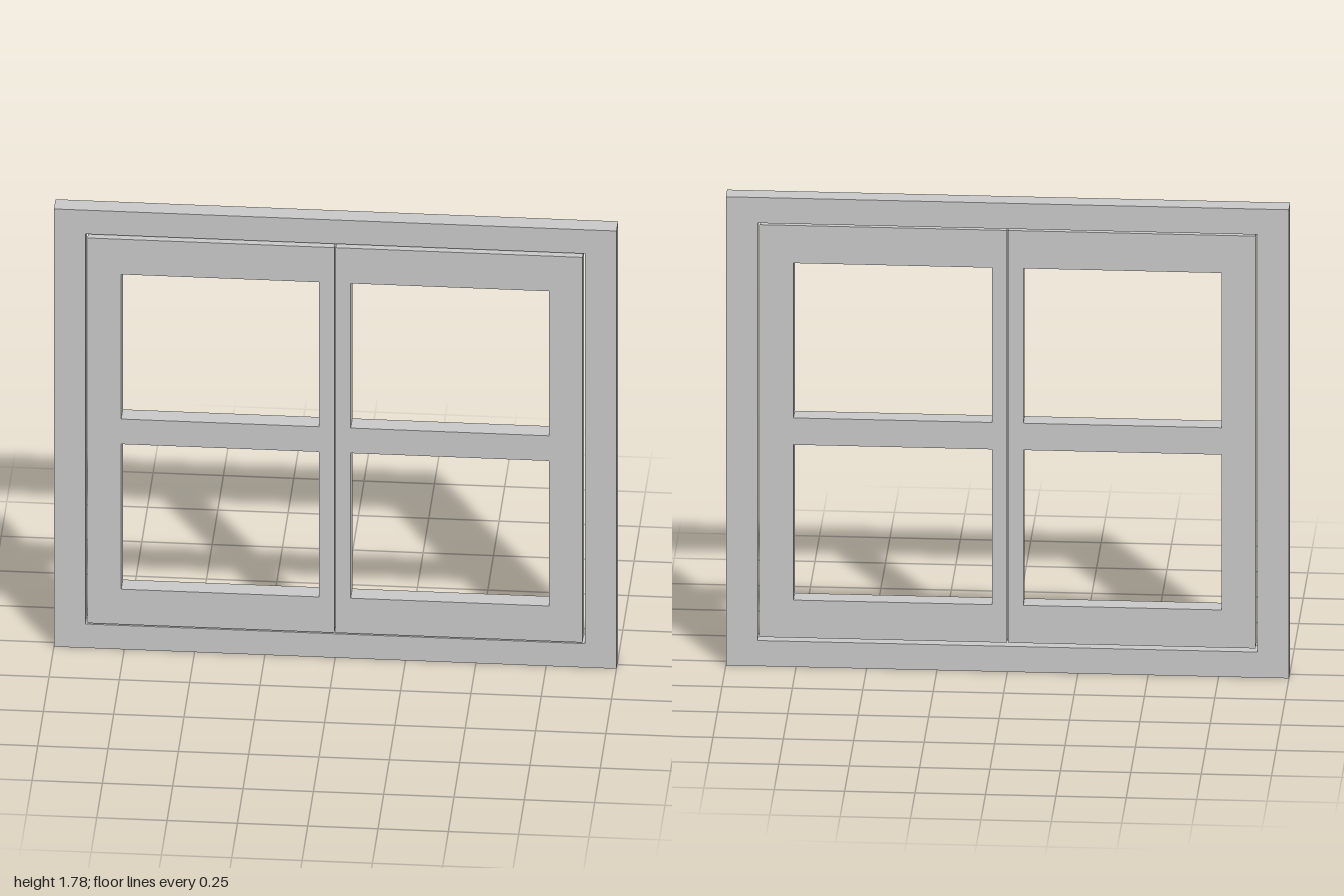
import * as THREE from 'three';

const material = new THREE.MeshStandardMaterial({ color: 0xcccccc, flatShading: true });

// Adds a closed rectangle to a shape or path
function rect(path, x0, y0, x1, y1) {
  path.moveTo(x0, y0);
  path.lineTo(x1, y0);
  path.lineTo(x1, y1);
  path.lineTo(x0, y1);
  path.closePath();
  return path;
}

// Rectangular panel with rectangular openings, extruded from zBack to zFront
function panel(name, outer, openings, zBack, zFront) {
  const shape = rect(new THREE.Shape(), ...outer);
  for (const o of openings) shape.holes.push(rect(new THREE.Path(), ...o));
  const geometry = new THREE.ExtrudeGeometry(shape, { depth: zFront - zBack, bevelEnabled: false });
  geometry.translate(0, 0, zBack);
  const mesh = new THREE.Mesh(geometry, material);
  mesh.name = name;
  return mesh;
}

export function createModel() {
  const group = new THREE.Group();
  group.name = 'casementWindow';

  // Fixed outer frame
  group.add(panel('outerFrame', [-1, 0, 1, 1.78], [[-0.888, 0.097, 0.888, 1.683]], -0.04, 0.03));

  // Two casements, each with an upper and lower pane opening, set slightly forward
  for (const [name, side] of [['leftSash', 1], ['rightSash', -1]]) {
    const span = (a, y0, b, y1) => (side > 0 ? [a, y0, b, y1] : [-b, y0, -a, y1]);
    group.add(panel(
      name,
      span(0.002, 0.107, 0.88, 1.673),
      [span(0.056, 0.25, 0.76, 0.84), span(0.056, 0.942, 0.76, 1.53)],
      -0.03, 0.04
    ));
  }
  return group;
}
